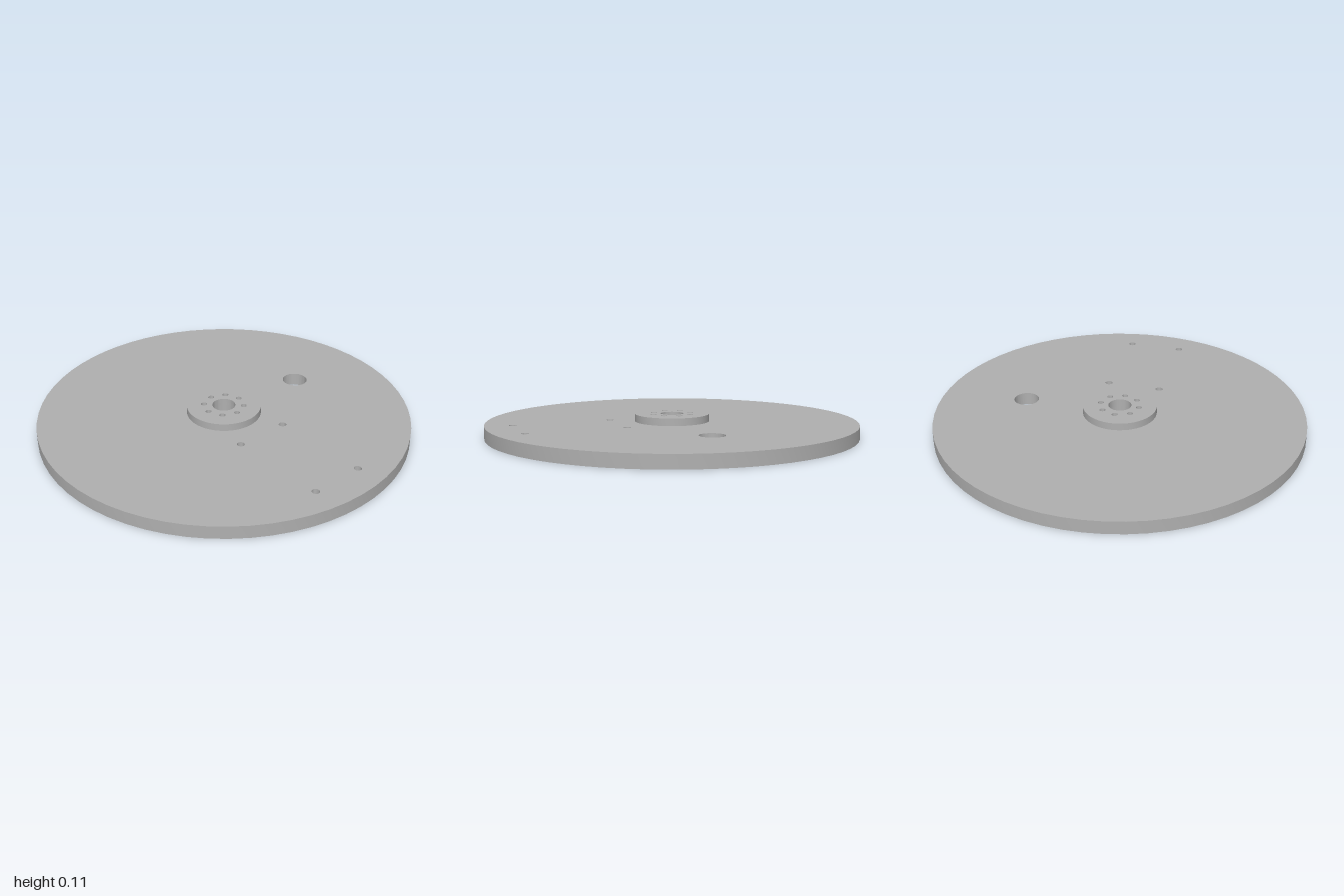
import * as THREE from 'three';
import { toCreasedNormals } from 'three/addons/utils/BufferGeometryUtils.js';

const PLATE_HEIGHT = 0.07;
const HUB_HEIGHT = 0.04;

// Round disc lying flat, pierced by holes given as [x, z, radius]
function disc(name, radius, bottom, height, holes, material) {
  const shape = new THREE.Shape().absarc(0, 0, radius, 0, Math.PI * 2, false);
  for (const [x, z, r] of holes) {
    shape.holes.push(new THREE.Path().absarc(x, -z, r, 0, Math.PI * 2, true));
  }
  const extruded = new THREE.ExtrudeGeometry(shape, { depth: height, bevelEnabled: false, curveSegments: 32 });
  extruded.rotateX(-Math.PI / 2).translate(0, bottom, 0);
  const mesh = new THREE.Mesh(toCreasedNormals(extruded, 0.6), material);
  mesh.name = name;
  return mesh;
}

// Ring of eight bolt holes around the centre
function boltCircle(r) {
  return Array.from({ length: 8 }, (_, i) => {
    const a = (i * Math.PI) / 4;
    return [0.107 * Math.cos(a), 0.107 * Math.sin(a), r];
  });
}

export function createModel() {
  const group = new THREE.Group();
  group.name = 'flangedDisc';
  const metal = new THREE.MeshStandardMaterial({ color: 0xb0b0b0 });
  metal.name = 'grey metal';

  const bore = [0, 0, 0.062];

  // Main plate: bore, wide bolt recesses, offset hole and four mounting holes
  const mounting = [];
  for (const x of [0.305, 0.84]) {
    for (const z of [-0.147, 0.147]) mounting.push([x, z, 0.02]);
  }
  const plateHoles = [bore, ...boltCircle(0.027), [0, -0.535, 0.068], ...mounting];
  group.add(disc('plate', 1, 0, PLATE_HEIGHT, plateHoles, metal));

  // Raised hub with narrower bolt holes
  group.add(disc('hub', 0.2, PLATE_HEIGHT, HUB_HEIGHT, [bore, ...boltCircle(0.016)], metal));
  return group;
}
